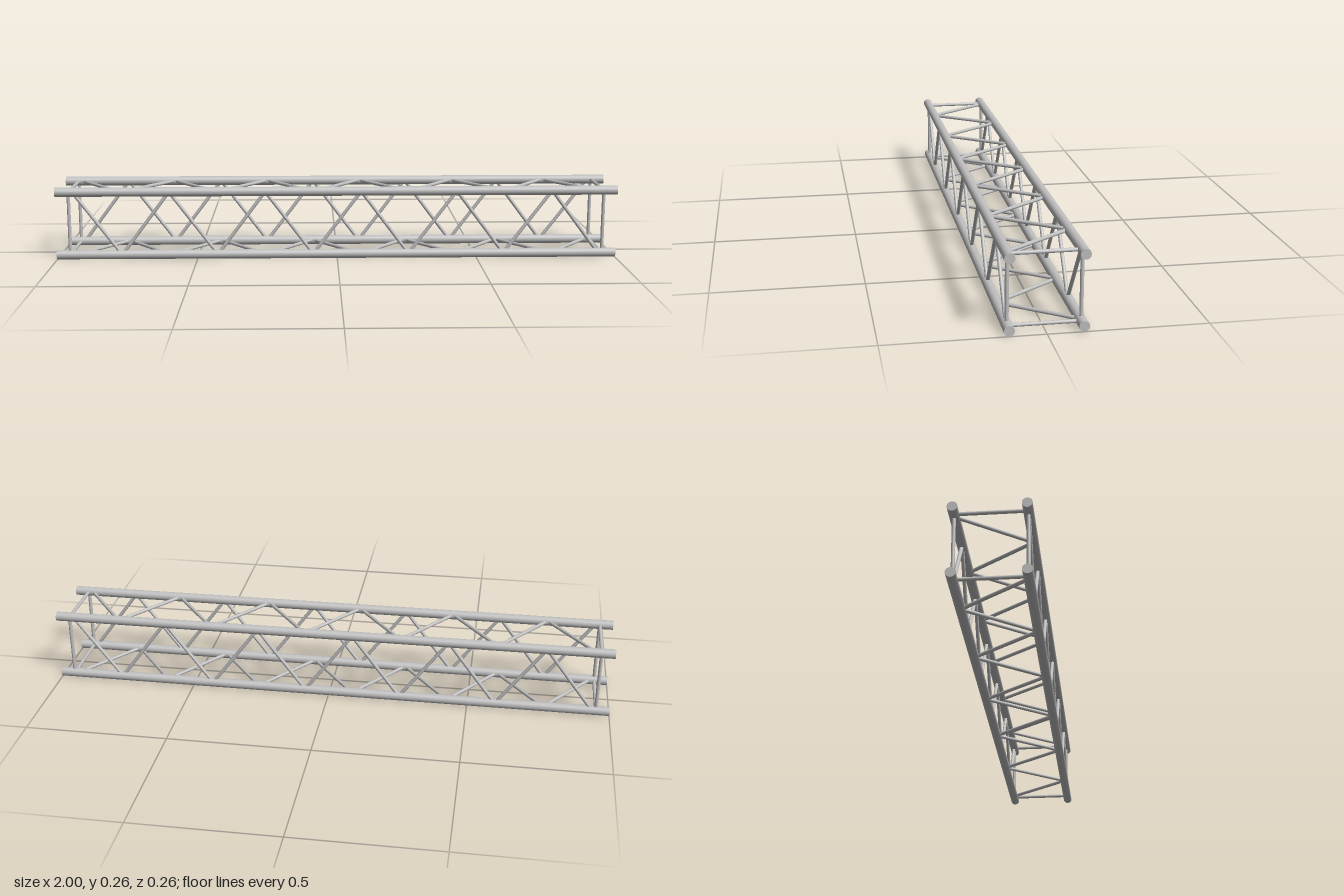
import * as THREE from 'three';

const HALF = 0.1135;        // half the spacing between chords
const CHORD_R = 0.0165;
const BRACE_R = 0.0062;
const PANELS = 11;
const PITCH = 0.1707;
const END_X = 0.953;        // position of the end frames

export function createModel() {
  const group = new THREE.Group();
  const aluminium = new THREE.MeshStandardMaterial({ color: 0xbfbfbf });
  aluminium.name = 'aluminium';

  // Round bar between two points
  function bar(name, a, b, radius, sides) {
    const dir = b.clone().sub(a);
    const mesh = new THREE.Mesh(new THREE.CylinderGeometry(radius, radius, dir.length(), sides), aluminium);
    mesh.position.copy(a).add(b).multiplyScalar(0.5);
    mesh.quaternion.setFromUnitVectors(new THREE.Vector3(0, 1, 0), dir.normalize());
    mesh.name = name;
    group.add(mesh);
  }

  // Chord corners in order around the long axis: top back, top front, bottom front, bottom back
  const corners = [[1, -1], [1, 1], [-1, 1], [-1, -1]];
  const at = (corner, x) => {
    const [sy, sz] = corners[corner % 4];
    return new THREE.Vector3(x, CHORD_R + HALF + sy * HALF, sz * HALF);
  };

  for (let c = 0; c < 4; c++) {
    // Main chord
    bar('chord', at(c, -1), at(c, 1), CHORD_R, 32);

    // Square end frames
    for (const x of [-END_X, END_X]) bar('endStrut', at(c, x), at(c + 1, x), BRACE_R, 16);

    // Zigzag bracing of one face, alternating between its two chords
    for (let i = 0; i < PANELS; i++) {
      const x = (i - PANELS / 2) * PITCH;
      bar('diagonalBrace', at(c + (i % 2), x), at(c + ((i + 1) % 2), x + PITCH), BRACE_R, 16);
    }
  }
  return group;
}
